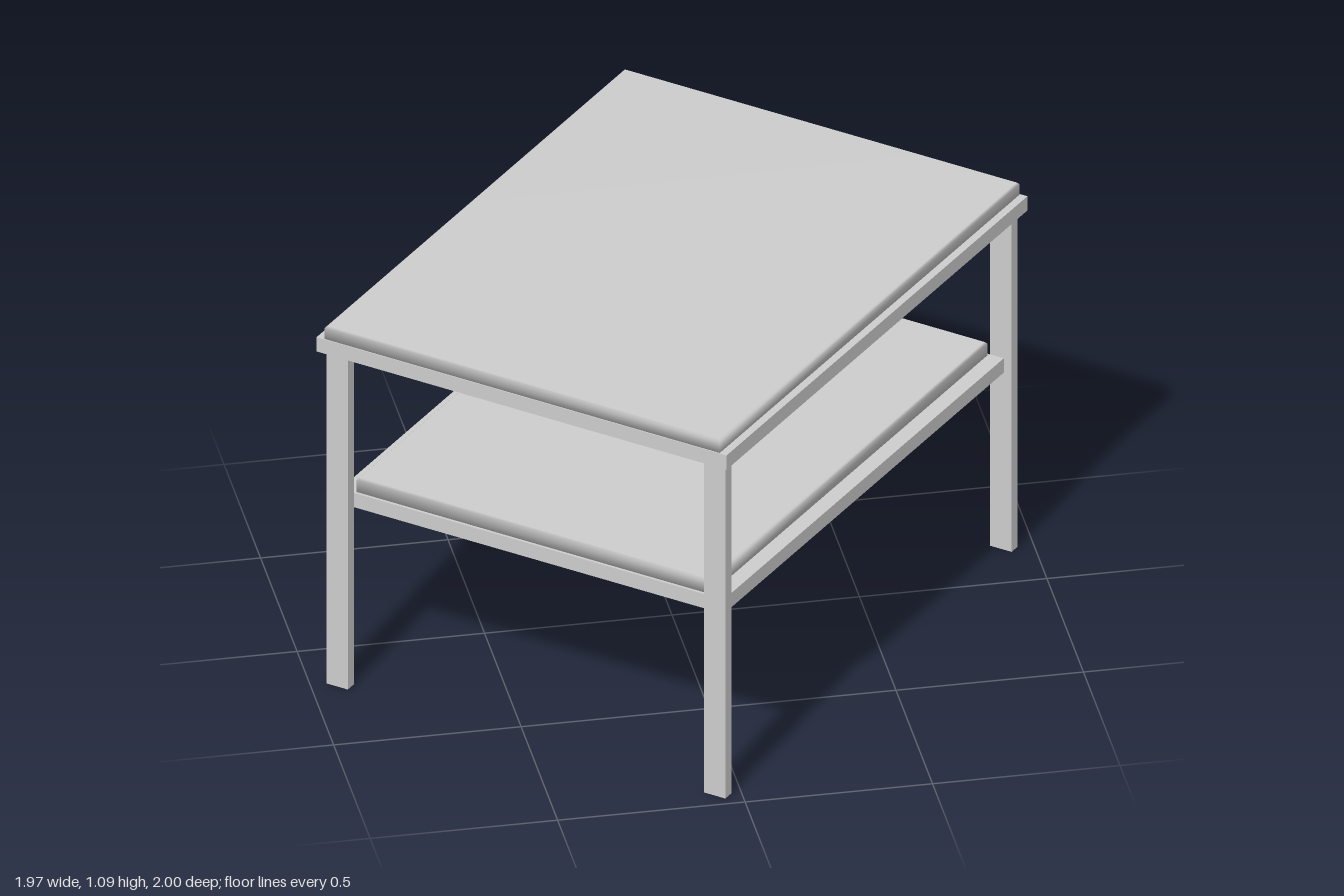
import * as THREE from 'three';
import { mergeVertices } from 'three/addons/utils/BufferGeometryUtils.js';

const material = new THREE.MeshStandardMaterial({ color: 0xcccccc });

function addBox(parent, name, w, h, l, x, bottom, z) {
  const mesh = new THREE.Mesh(new THREE.BoxGeometry(w, h, l), material);
  mesh.name = name;
  mesh.position.set(x, bottom + h / 2, z);
  parent.add(mesh);
}

// Softly shaded panel whose upper edge is slightly eased inwards
function addPanel(parent, name, w, h, l, bottom) {
  const ease = 0.006;
  let geometry = new THREE.BoxGeometry(w, h, l, 1, 2, 1);
  const p = geometry.attributes.position;
  for (let i = 0; i < p.count; i++) {
    const y = p.getY(i);
    if (Math.abs(y) < 1e-6) {
      p.setY(i, h / 2 - ease);
    } else if (y > 0) {
      p.setX(i, p.getX(i) - Math.sign(p.getX(i)) * ease);
      p.setZ(i, p.getZ(i) - Math.sign(p.getZ(i)) * ease);
    }
  }
  geometry.deleteAttribute('normal');
  geometry.deleteAttribute('uv');
  geometry = mergeVertices(geometry);
  geometry.computeVertexNormals();
  const mesh = new THREE.Mesh(geometry, material);
  mesh.name = name;
  mesh.position.y = bottom + h / 2;
  parent.add(mesh);
}

export function createModel() {
  const table = new THREE.Group();
  table.name = 'sideTable';

  // Table top: flat frame with a panel set on it
  addBox(table, 'topFrame', 1.24, 0.043, 1.573, 0, 1.009, 0);
  addPanel(table, 'topPanel', 1.196, 0.038, 1.567, 1.052);

  // Lower shelf, fitted between the legs
  addBox(table, 'shelfFrame', 1.16, 0.043, 1.464, 0, 0.535, 0);
  addPanel(table, 'shelfPanel', 1.07, 0.042, 1.448, 0.578);

  // Four rectangular legs
  for (const sx of [-1, 1]) {
    for (const sz of [-1, 1]) {
      addBox(table, 'leg', 0.065, 1.01, 0.032, sx * 0.571, 0, sz * 0.748);
    }
  }

  // The table stands turned about its vertical axis
  table.rotation.y = THREE.MathUtils.degToRad(-41.1);
  const model = new THREE.Group();
  model.add(table);
  return model;
}
